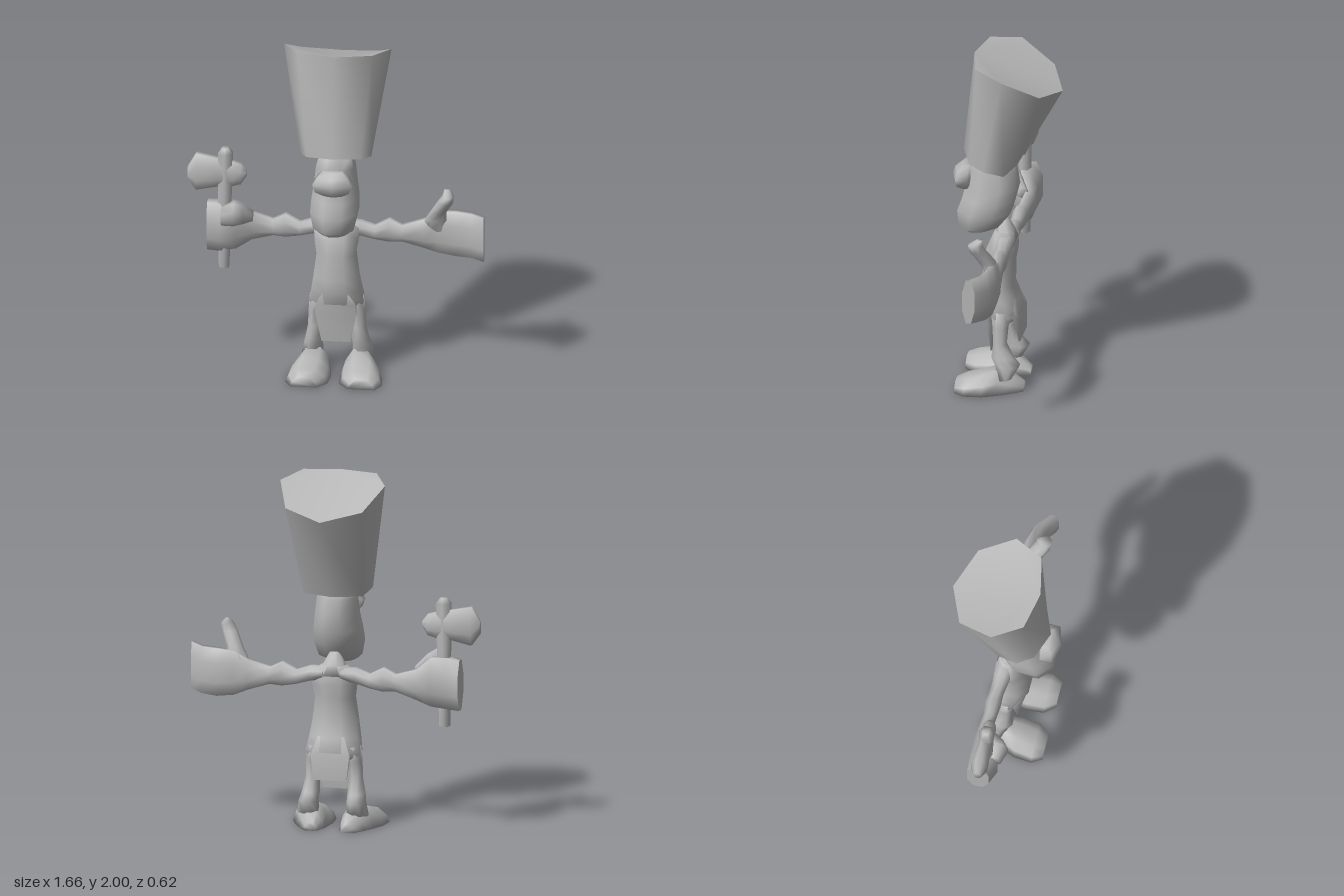
import * as THREE from 'three';

const grey = new THREE.MeshStandardMaterial({ color: 0xb8b8b8 });
grey.name = 'plain grey';

// Smooth skin over equal-length rings of points, closed by flat or smooth ends
function skin(name, rings, flatEnds = false) {
  const n = rings[0].length, pos = rings.flat(2), idx = [];
  for (let r = 0; r < rings.length - 1; r++) {
    for (let i = 0; i < n; i++) {
      const a = r * n + i, b = r * n + (i + 1) % n;
      idx.push(a, b, a + n, b, b + n, a + n);
    }
  }
  for (const end of [0, rings.length - 1]) {
    let base = end * n;
    if (flatEnds) {
      base = pos.length / 3;
      pos.push(...rings[end].flat());
    }
    for (let i = 1; i < n - 1; i++) {
      if (end) idx.push(base, base + i, base + i + 1);
      else idx.push(base, base + i + 1, base + i);
    }
  }
  // Turn all faces outward using the signed volume
  const p = i => new THREE.Vector3().fromArray(pos, i * 3);
  let volume = 0;
  for (let i = 0; i < idx.length; i += 3) volume += p(idx[i]).dot(p(idx[i + 1]).cross(p(idx[i + 2])));
  if (volume < 0) idx.reverse();
  const g = new THREE.BufferGeometry();
  g.setAttribute('position', new THREE.Float32BufferAttribute(pos, 3));
  g.setIndex(idx);
  g.computeVertexNormals();
  const mesh = new THREE.Mesh(g, grey);
  mesh.name = name;
  return mesh;
}

// Unit polygon whose flat sides lie at distance one
function polygon(n) {
  const k = 1 / Math.cos(Math.PI / n);
  return Array.from({ length: n }, (_, i) => {
    const a = (i + 0.5) * 2 * Math.PI / n;
    return [k * Math.cos(a), k * Math.sin(a)];
  });
}

// Rows: [y, centre x, centre z, half width, half depth]
const upright = (name, rows, n = 8, s = 1) => skin(name, rows.map(([y, x, z, w, d]) =>
  polygon(n).map(([u, v]) => [s * (x + u * w), y, z + v * d])));

// Rows: [x, centre y, centre z, half height, half depth]
const sideways = (name, rows, s = 1, flat = false) => skin(name, rows.map(([x, y, z, h, d]) =>
  polygon(8).map(([u, v]) => [s * x, y + u * h, z + v * d])), flat);

export function createModel() {
  const model = new THREE.Group();
  model.name = 'figure';

  // Tall flared hat with a slanted top
  const round = half => [...half, ...half.slice(1, -1).reverse().map(([x, y, z]) => [-x, y, z])];
  model.add(skin('hat', [
    round([[0, 1.40, 0.25], [0.15, 1.38, 0.19], [0.2, 1.36, 0.1], [0.17, 1.33, -0.01], [0, 1.325, -0.05]]),
    round([[0, 2, 0.19], [0.21, 2, 0.145], [0.3, 1.97, -0.02], [0.22, 1.86, -0.22], [0, 1.81, -0.31]]),
  ], true));

  // Head with jutting jaw, nose, and neck
  model.add(upright('head', [
    [0.915, 0, 0.19, 0.06, 0.045],
    [0.95, 0, 0.16, 0.113, 0.11],
    [1.04, 0, 0.13, 0.132, 0.148],
    [1.12, 0, 0.105, 0.127, 0.145],
    [1.2, 0, 0.085, 0.115, 0.145],
    [1.3, 0, 0.085, 0.105, 0.13],
    [1.38, 0, 0.09, 0.085, 0.115],
  ]));
  model.add(upright('nose', [
    [1.175, 0, 0.235, 0.05, 0.028],
    [1.205, 0, 0.245, 0.095, 0.05],
    [1.25, 0, 0.245, 0.11, 0.057],
    [1.29, 0, 0.24, 0.085, 0.05],
    [1.32, 0, 0.23, 0.055, 0.028],
  ], 6));
  model.add(upright('neck', [
    [0.87, 0, 0.01, 0.115, 0.06],
    [0.93, 0, 0.015, 0.06, 0.05],
    [1.0, 0, 0.03, 0.025, 0.03],
  ]));

  // Long body and the loincloth flaps
  model.add(upright('body', [
    [0.925, 0, 0.015, 0.07, 0.05],
    [0.89, 0, 0.02, 0.125, 0.065],
    [0.82, 0, 0.03, 0.122, 0.083],
    [0.74, 0, 0.045, 0.108, 0.085],
    [0.6, 0, 0.05, 0.126, 0.085],
    [0.52, 0, 0.035, 0.138, 0.1],
    [0.44, 0, 0.012, 0.152, 0.095],
    [0.4, 0, 0.012, 0.135, 0.07],
  ]));
  model.add(upright('frontFlap', [
    [0.52, 0, 0.1, 0.07, 0.025],
    [0.44, 0, 0.085, 0.11, 0.022],
    [0.38, 0, 0.08, 0.115, 0.018],
    [0.205, 0, 0.08, 0.08, 0.004],
  ], 4));
  model.add(upright('backFlap', [
    [0.53, 0, -0.04, 0.075, 0.02],
    [0.43, 0, -0.067, 0.11, 0.018],
    [0.285, 0, -0.083, 0.095, 0.004],
  ], 4));

  // Mirrored legs, feet and arms
  const arm = [
    [0.05, 0.88, 0, 0.035, 0.05],
    [0.13, 0.875, 0, 0.042, 0.045],
    [0.21, 0.85, -0.005, 0.04, 0.035],
    [0.29, 0.865, -0.01, 0.068, 0.042],
    [0.36, 0.85, -0.01, 0.048, 0.035],
    [0.48, 0.85, -0.02, 0.085, 0.037],
  ];
  const hands = {
    left: [
      [0.56, 0.858, -0.033, 0.125, 0.037],
      [0.66, 0.855, -0.028, 0.135, 0.042],
      [0.75, 0.858, -0.005, 0.133, 0.042],
      [0.825, 0.865, 0.058, 0.133, 0.035],
    ],
    right: [
      [0.56, 0.865, 0.012, 0.138, 0.068],
      [0.65, 0.86, 0.025, 0.145, 0.08],
      [0.725, 0.853, 0.01, 0.143, 0.062],
    ],
  };
  for (const [side, s] of [['left', 1], ['right', -1]]) {
    model.add(upright(side + 'Leg', [
      [0.47, 0.1, 0.012, 0.05, 0.06],
      [0.38, 0.123, 0.018, 0.034, 0.043],
      [0.28, 0.125, 0.02, 0.036, 0.036],
      [0.2, 0.13, 0.005, 0.046, 0.06],
      [0.155, 0.137, -0.025, 0.05, 0.067],
      [0.08, 0.14, -0.01, 0.06, 0.04],
    ], 8, s));
    // Each foot runs from a narrow heel to a broad toe turned outward
    const foot = [[-0.115, 0.105, 0.035, 0.045], [-0.05, 0.115, 0.07, 0.09], [0.02, 0.13, 0.095, 0.135],
      [0.1, 0.142, 0.117, 0.107], [0.2, 0.152, 0.118, 0.08], [0.26, 0.16, 0.075, 0.058]];
    model.add(skin(side + 'Foot', foot.map(([z, x, w, h]) =>
      [[-w, 0], [w, 0], [w * 0.85, h * 0.5], [w * 0.4, h], [-w * 0.4, h], [-w * 0.85, h * 0.5]]
        .map(([dx, y]) => [s * (x + dx), y, z]))));
    model.add(sideways(side + 'Arm', [...arm, ...hands[side]], s, true));
  }

  // Raised thumb on the open hand, folded thumb on the fist
  model.add(upright('leftThumb', [
    [0.87, 0.55, -0.025, 0.08, 0.03],
    [0.94, 0.548, -0.015, 0.06, 0.035],
    [1.0, 0.567, 0.005, 0.042, 0.045],
    [1.08, 0.61, 0.05, 0.042, 0.045],
    [1.12, 0.625, 0.06, 0.032, 0.038],
    [1.15, 0.615, 0.035, 0.014, 0.018],
  ]));
  model.add(sideways('rightThumb', [
    [0.47, 0.92, 0.01, 0.03, 0.03],
    [0.52, 0.95, 0.06, 0.055, 0.045],
    [0.57, 0.965, 0.09, 0.07, 0.055],
    [0.64, 0.94, 0.085, 0.05, 0.035],
  ], -1));

  // Hammer held in the fist
  const hammer = new THREE.Group();
  hammer.name = 'hammer';
  hammer.add(upright('handle', [
    [0.61, -0.63, 0.03, 0.028, 0.026],
    [0.9, -0.627, 0.032, 0.034, 0.031],
    [1.31, -0.622, 0.035, 0.04, 0.038],
    [1.34, -0.622, 0.035, 0.018, 0.02],
  ], 6));
  hammer.add(sideways('hammerHead', [
    [0.833, 1.18, 0.033, 0.035, 0.02],
    [0.785, 1.19, 0.033, 0.11, 0.046],
    [0.66, 1.19, 0.033, 0.084, 0.038],
    [0.58, 1.185, 0.033, 0.073, 0.036],
    [0.535, 1.185, 0.033, 0.06, 0.036],
    [0.503, 1.19, 0.033, 0.015, 0.015],
  ], -1));
  model.add(hammer);
  return model;
}
